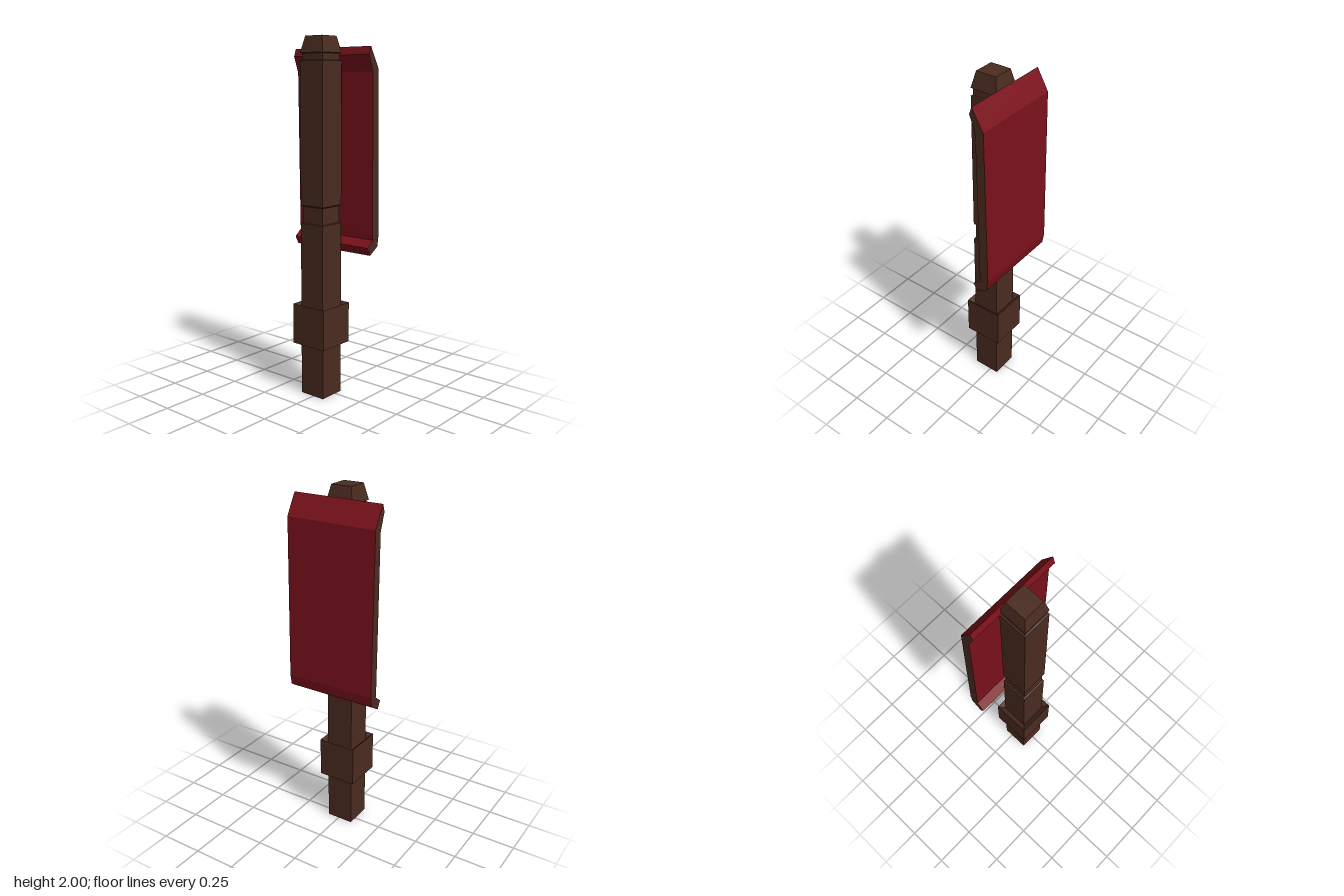
import * as THREE from 'three';

const wood = new THREE.MeshStandardMaterial({ color: 0x4a2b20, flatShading: true });
const cloth = new THREE.MeshStandardMaterial({ color: 0x7a111b, flatShading: true });

// Square-section solid from [half width, height] pairs, bottom to top
function squareTurned(name, profile) {
  const points = profile.map(([half, y]) => new THREE.Vector2(half * Math.SQRT2, y));
  const geometry = new THREE.LatheGeometry(points, 4, Math.PI / 4).toNonIndexed();
  geometry.computeVertexNormals();
  const mesh = new THREE.Mesh(geometry, wood);
  mesh.name = name;
  return mesh;
}

export function createModel() {
  const model = new THREE.Group();
  model.name = 'bannerPost';

  // Post with a waist, a neck and a tapered cap
  const post = new THREE.Group();
  post.name = 'post';
  post.position.set(-0.029, 0, -0.008);
  post.add(squareTurned('shaft', [
    [0, 0], [0.079, 0], [0.079, 0.99], [0.071, 0.993],
    [0.071, 1.085], [0.079, 1.092], [0.079, 1.87], [0.071, 1.873],
    [0.071, 1.908], [0.079, 1.912], [0.059, 2], [0, 2],
  ]));

  // Collar whose rims dip in towards the shaft
  post.add(squareTurned('collar', [
    [0.079, 0.33], [0.111, 0.3], [0.111, 0.53], [0.079, 0.5],
  ]));
  model.add(post);

  // Bent banner panel: red faces, wooden side edges
  const outline = [
    [0.053, 1.942], [0.12, 1.827], [0.138, 0.928], [0.128, 0.868], [0.063, 0.827],
    [0.04, 0.872], [0.087, 0.91], [0.084, 0.94], [0.071, 1.812], [0.038, 1.9],
  ].map(([x, y]) => new THREE.Vector2(x, y));
  const length = 0.528;
  const bannerGeometry = new THREE.ExtrudeGeometry(new THREE.Shape(outline), {
    depth: length, bevelEnabled: false,
  });
  bannerGeometry.translate(0, 0, -length / 2);
  const banner = new THREE.Mesh(bannerGeometry, [wood, cloth]);
  banner.name = 'banner';
  model.add(banner);

  return model;
}
